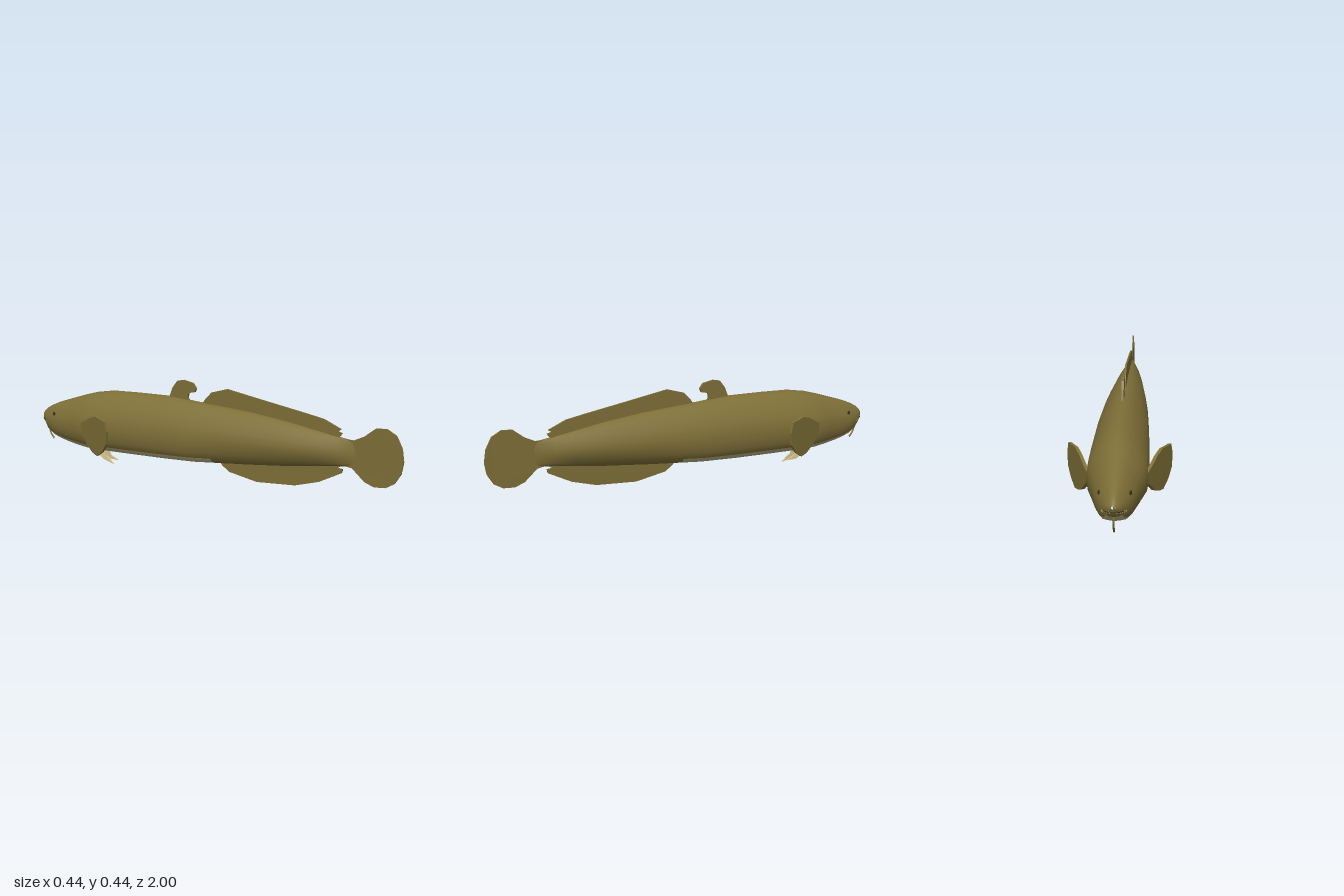
import * as THREE from 'three';

const mat = (name, color, side = THREE.FrontSide) => {
  const m = new THREE.MeshStandardMaterial({ color, side });
  m.name = name;
  return m;
};

export function createModel() {
  const fish = new THREE.Group();
  fish.name = 'fish';
  const olive = mat('olive skin', 0x7f7038);
  const cream = mat('pale belly', 0xbcae82);
  const finCream = mat('cream fin', 0xdccb96);
  const dark = mat('dark olive', 0x3a331a);

  const add = (name, geo, material, parent = fish) => {
    const mesh = new THREE.Mesh(geo, material);
    mesh.name = name;
    parent.add(mesh);
    return mesh;
  };

  // The spine drifts slightly sideways towards the tail
  const drift = (z) => -0.012 * THREE.MathUtils.smoothstep(z, -0.6, 0.9);

  // Body stations: z, top, bottom, half width
  const stations = [
    [-1.0, 0.206, 0.192, 0.008], [-0.993, 0.216, 0.175, 0.022], [-0.975, 0.23, 0.15, 0.036],
    [-0.945, 0.245, 0.12, 0.05], [-0.9, 0.263, 0.1, 0.067], [-0.85, 0.279, 0.088, 0.081],
    [-0.8, 0.294, 0.079, 0.091], [-0.72, 0.318, 0.069, 0.109], [-0.65, 0.336, 0.064, 0.126],
    [-0.55, 0.352, 0.062, 0.126], [-0.4, 0.357, 0.064, 0.123], [-0.2, 0.36, 0.068, 0.117],
    [-0.04, 0.349, 0.074, 0.109], [0.08, 0.343, 0.084, 0.102], [0.25, 0.333, 0.098, 0.087],
    [0.45, 0.312, 0.118, 0.066], [0.6, 0.29, 0.138, 0.046], [0.68, 0.278, 0.148, 0.029],
    [0.74, 0.27, 0.155, 0.012], [0.78, 0.265, 0.16, 0.002],
  ];
  // Half cross-section, top to bottom: share of width, share of height
  const half = [
    [0, 1], [0.24, 0.965], [0.46, 0.9], [0.7, 0.78], [0.9, 0.64], [0.99, 0.5],
    [1, 0.36], [0.95, 0.22], [0.83, 0.125], [0.68, 0.055], [0.36, 0.022], [0, 0],
  ];
  const m = half.length - 1, ring = 2 * m, bellyStart = 8;

  const pos = [];
  stations.forEach(([z, top, bottom, w]) => {
    const slim = THREE.MathUtils.smoothstep(z, -0.1, 0.6);
    for (let j = 0; j < ring; j++) {
      const [u, v] = half[j <= m ? j : ring - j];
      const lower = v < 0.4 ? 1 - 0.45 * slim * (1 - v / 0.4) : 1;
      pos.push(drift(z) + (j <= m ? 1 : -1) * u * w * lower, bottom + v * (top - bottom), z);
    }
  });
  const back = [], belly = [];
  for (let i = 0; i < stations.length - 1; i++) {
    for (let j = 0; j < ring; j++) {
      const a = i * ring + j, b = i * ring + (j + 1) % ring, c = a + ring, d = b + ring;
      const pale = j >= bellyStart && j < ring - bellyStart
        && stations[i][0] > -0.98 && stations[i][0] < 0.07;
      (pale ? belly : back).push(a, c, b, b, c, d);
    }
  }
  const bodyGeo = new THREE.BufferGeometry();
  bodyGeo.setAttribute('position', new THREE.Float32BufferAttribute(pos, 3));
  bodyGeo.setIndex([...back, ...belly]);
  bodyGeo.addGroup(0, back.length, 0);
  bodyGeo.addGroup(back.length, belly.length, 1);
  bodyGeo.computeVertexNormals();
  add('body', bodyGeo, [olive, cream]);

  // Fin outline given as z, y pairs; xAt places each point sideways
  const fin = (name, outline, thick, material, xAt = drift) => {
    const shape = new THREE.Shape(outline.map(([z, y]) => new THREE.Vector2(z, y)));
    const geo = new THREE.ExtrudeGeometry(shape, { depth: thick, bevelEnabled: false });
    geo.rotateY(-Math.PI / 2).translate(thick / 2, 0, 0);
    const p = geo.attributes.position;
    for (let i = 0; i < p.count; i++) p.setX(i, p.getX(i) + xAt(p.getZ(i), p.getY(i)));
    geo.computeVertexNormals();
    return add(name, geo, material);
  };

  // Fins along the middle
  fin('firstDorsalFin', [[-0.22, 0.33], [-0.08, 0.33], [-0.105, 0.362], [-0.1, 0.383], [-0.065, 0.39],
    [-0.057, 0.407], [-0.075, 0.43], [-0.13, 0.44], [-0.165, 0.433], [-0.192, 0.4], [-0.205, 0.37]], 0.01, olive);
  fin('longDorsalFin', [[-0.03, 0.33], [0.3, 0.28], [0.66, 0.25], [0.7, 0.278], [0.71, 0.292], [0.69, 0.298],
    [0.705, 0.308], [0.62, 0.342], [0.53, 0.357], [0.3, 0.392], [0.115, 0.421], [0.03, 0.398],
    [-0.005, 0.365]], 0.008, olive);
  fin('analFin', [[0.07, 0.1], [0.09, 0.075], [0.13, 0.05], [0.28, 0.025], [0.48, 0.038], [0.6, 0.07],
    [0.71, 0.122], [0.715, 0.14], [0.69, 0.142], [0.71, 0.155], [0.68, 0.17], [0.4, 0.14]], 0.008, olive);
  fin('tailFin', [[0.68, 0.16], [0.76, 0.15], [0.82, 0.1], [0.865, 0.084], [0.92, 0.088], [0.96, 0.11],
    [0.99, 0.155], [1, 0.205], [0.992, 0.26], [0.965, 0.31], [0.92, 0.333], [0.87, 0.33], [0.815, 0.29],
    [0.765, 0.268], [0.68, 0.27]], 0.006, olive);

  // Paired fins, barbs and eyes
  for (const s of [1, -1]) {
    const side = s > 0 ? 'left' : 'right';
    fin(side + 'PectoralFin', [[-0.66, 0.2], [-0.64, 0.15], [-0.59, 0.105], [-0.54, 0.08], [-0.5, 0.072],
      [-0.45, 0.1], [-0.415, 0.14], [-0.41, 0.2], [-0.425, 0.245], [-0.47, 0.25], [-0.51, 0.256],
      [-0.56, 0.243], [-0.62, 0.215]], 0.014, olive,
    (z) => s * (0.118 + 0.4 * (z + 0.65)));
    fin(side + 'PelvicFin', [[-0.7, 0.075], [-0.63, 0.032], [-0.6, 0.015], [-0.542, s > 0 ? 0.014 : 0],
      [-0.575, 0.028], [-0.59, 0.035], [-0.6, 0.07]], 0.006, finCream,
    (z, y) => s * (0.014 + 0.05 * Math.max(0, 0.07 - y)));

    const eye = add(side + 'Eye', new THREE.SphereGeometry(0.011, 12, 8), dark);
    eye.scale.x = 0.4;
    eye.position.set(s * 0.061, 0.212, -0.885);
    eye.rotation.y = s * 0.35;

    // Small teeth along the lip
    [[0.014, -0.993], [0.026, -0.983], [0.034, -0.973], [0.041, -0.961], [0.046, -0.95]].forEach(([x, z], i) => {
      const tooth = add(side + 'Tooth', new THREE.ConeGeometry(0.004, 0.012, 5), finCream);
      tooth.position.set(s * x, 0.174 - i * 0.003, z);
      tooth.rotation.x = Math.PI;
    });
  }

  // Mouth line
  const lip = [[-0.047, -0.945], [-0.035, -0.974], [-0.02, -0.993], [0, -0.996], [0.02, -0.993], [0.035, -0.974], [0.047, -0.945]]
    .map(([x, z]) => new THREE.Vector3(x, 0.181 - Math.abs(x) * 0.2, z));
  add('mouth', new THREE.TubeGeometry(new THREE.CatmullRomCurve3(lip), 24, 0.002, 5), dark);

  // Chin barbel
  const barbel = [[0.15, -0.95], [0.14, -0.974], [0.105, -0.968], [0.076, -0.945]]
    .map(([y, z]) => new THREE.Vector3(0, y, z));
  add('chinBarbel', new THREE.TubeGeometry(new THREE.CatmullRomCurve3(barbel), 12, 0.004, 6), olive);

  return fish;
}
